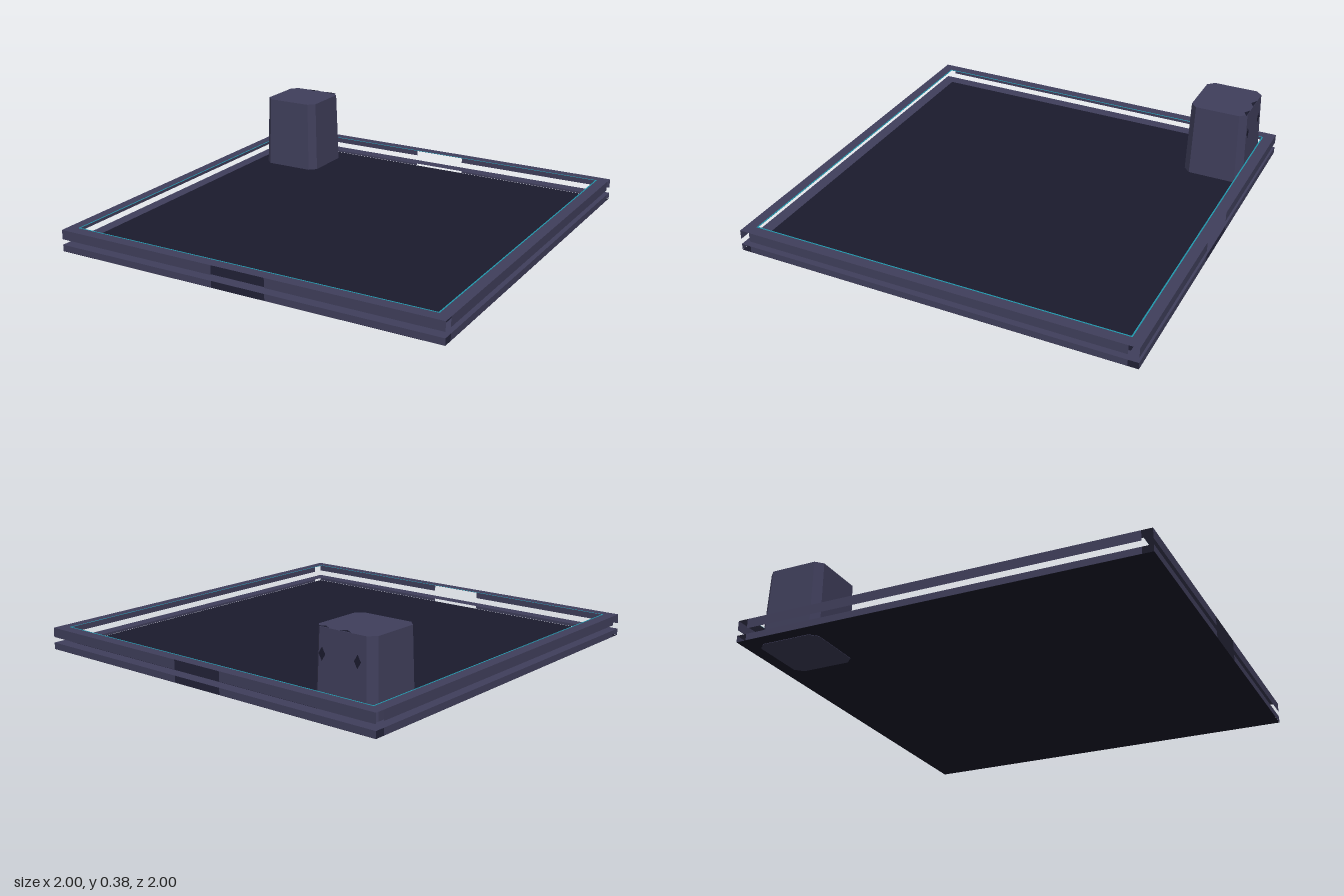
import * as THREE from 'three';

export function createModel() {
  const model = new THREE.Group();
  const trim = new THREE.MeshStandardMaterial({ color: 0x403f5c, side: THREE.DoubleSide });
  trim.name = 'slate trim';
  const dark = new THREE.MeshStandardMaterial({ color: 0x1b1b2e, side: THREE.DoubleSide });
  dark.name = 'dark floor';
  const glow = new THREE.MeshStandardMaterial({ color: 0x1f98ac, side: THREE.DoubleSide });
  glow.name = 'teal line';

  const add = (name, geometry, material, x = 0, y = 0, z = 0) => {
    const mesh = new THREE.Mesh(geometry, material);
    mesh.name = name;
    mesh.position.set(x, y, z);
    model.add(mesh);
    return mesh;
  };
  const square = (Type, r) => new Type([[-r, -r], [r, -r], [r, r], [-r, r]].map(p => new THREE.Vector2(...p)));
  const flatRing = (outer, inner) => {
    const shape = square(THREE.Shape, outer);
    if (inner) shape.holes.push(square(THREE.Path, inner));
    return new THREE.ShapeGeometry(shape).rotateX(-Math.PI / 2);
  };

  // Floor sheet and the teal line on the ledge
  add('floor', flatRing(1), dark, 0, 0.002, 0);
  add('ledgeLine', flatRing(0.946, 0.939), glow, 0, 0.1115, 0);

  // Two L-shaped rails: a ledge all round and thin outer walls, with a doorway in front and back
  for (const [name, low, high] of [['lower', 0.003, 0.035], ['upper', 0.063, 0.11]]) {
    const h = high - low, y = (low + high) / 2;
    add(name + 'Ledge', flatRing(1, 0.94), trim, 0, high, 0);
    for (const s of [-1, 1]) {
      const side = add(name + 'SideWall', new THREE.PlaneGeometry(1.9, h), trim, s, y, 0);
      side.rotation.y = s * Math.PI / 2;
      for (const e of [-1, 1]) {
        const end = add(name + 'EndWall', new THREE.PlaneGeometry(0.86, h), trim, e * 0.57, y, s);
        end.rotation.y = s > 0 ? 0 : Math.PI;
      }
    }
  }

  // Tapered corner block with chamfered edges
  const w = 0.165, d = 0.157, c = 0.035, height = 0.381;
  const outline = new THREE.Shape([
    [-w + c, -d], [w - c, -d], [w, -d + c], [w, d - c],
    [w - c, d], [-w + c, d], [-w, d - c], [-w, -d + c],
  ].map(p => new THREE.Vector2(...p)));
  const block = new THREE.ExtrudeGeometry(outline, { depth: height, bevelEnabled: false }).rotateX(-Math.PI / 2);
  const pos = block.attributes.position;
  for (let i = 0; i < pos.count; i++) {
    const k = 1 - 0.065 * pos.getY(i) / height;
    pos.setX(i, pos.getX(i) * k);
    pos.setZ(i, pos.getZ(i) * k);
  }
  block.computeVertexNormals();
  add('cornerBlock', block, trim, -0.77, 0, -0.778);

  // Small dark nicks on the back of the block and along its top edge
  for (const x of [-0.85, -0.665]) {
    const nick = add('backNick', new THREE.CircleGeometry(0.03, 4), dark, x, 0.27, -0.93);
    nick.scale.x = 0.6;
    nick.rotation.x = 0.027;
  }
  const notch = new THREE.ShapeGeometry(new THREE.Shape([
    new THREE.Vector2(-0.035, 0), new THREE.Vector2(0, -0.02), new THREE.Vector2(0.035, 0),
  ])).rotateX(-Math.PI / 2);
  for (const x of [-0.78, -0.665]) add('topNotch', notch, dark, x, 0.3825, -0.924);

  return model;
}
